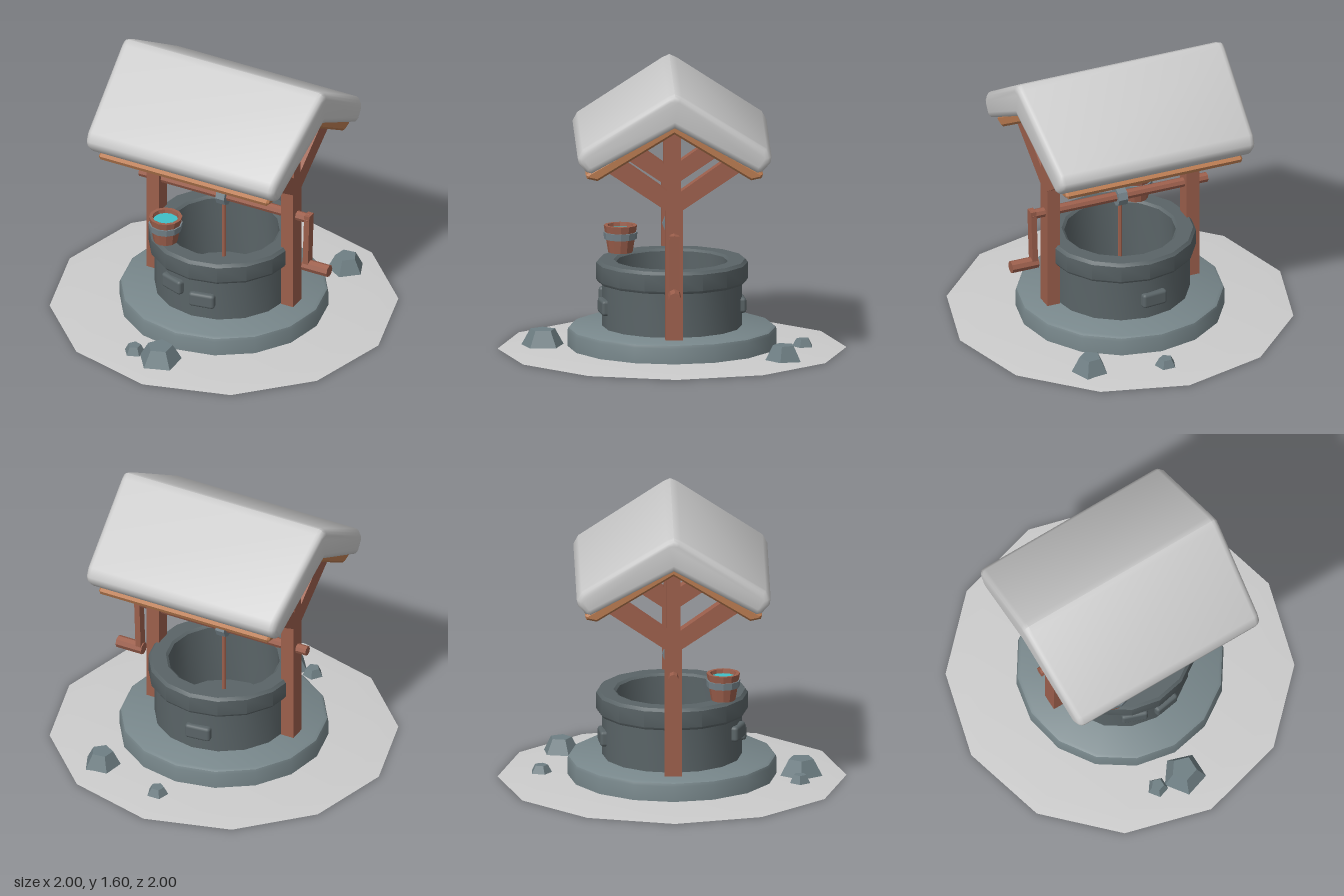
import * as THREE from 'three';
import { toCreasedNormals } from 'three/addons/utils/BufferGeometryUtils.js';
import { RoundedBoxGeometry } from 'three/addons/geometries/RoundedBoxGeometry.js';

const mat = (color, flatShading = false) => new THREE.MeshStandardMaterial({ color, flatShading });
const SNOW = mat(0xcccccc);
const WALL = mat(0x5a6467);
const STONE = mat(0x77868a);
const ROCK = mat(0x6f7f84, true);
const WOOD = mat(0x9c5f4c, true);
const ROOF = mat(0xb87a50, true);
const IRON = mat(0x75838a, true);
const WATER = mat(0x40c0c8);

export function createModel() {
  const model = new THREE.Group();

  const add = (name, geometry, material, x = 0, y = 0, z = 0, parent = model) => {
    const mesh = new THREE.Mesh(geometry, material);
    mesh.name = name;
    mesh.position.set(x, y, z);
    parent.add(mesh);
    return mesh;
  };
  const lathe = (points, sides) => toCreasedNormals(
    new THREE.LatheGeometry(points.map(([r, y]) => new THREE.Vector2(r, y)), sides), 0.6);

  // Mirrors half an outline (z >= 0, from bottom centre to top centre) into a full one
  const mirrored = (half) => new THREE.Shape([
    ...half, ...half.filter(([z]) => z > 0).reverse().map(([z, y]) => [-z, y]),
  ].map(([z, y]) => new THREE.Vector2(z, y)));

  // Extrudes a z-y outline along x, centred, with a total width
  const profile = (half, width, bevel = 0, segments = 1) => {
    const geometry = new THREE.ExtrudeGeometry(mirrored(half), {
      depth: width - 2 * bevel,
      bevelEnabled: bevel > 0,
      bevelThickness: bevel,
      bevelSize: bevel,
      bevelOffset: -bevel,
      bevelSegments: segments,
    });
    geometry.translate(0, 0, bevel - width / 2);
    return geometry.rotateY(-Math.PI / 2);
  };

  // Snowy ground and round stone footing
  add('ground', lathe([[0, 0], [1, 0], [0.87, 0.013], [0, 0.02]], 12), SNOW);
  add('footing', lathe([[0, 0.004], [0.6, 0.004], [0.6, 0.105], [0.594, 0.122], [0.578, 0.132], [0, 0.132]], 16), STONE);

  // Well wall with a thicker rim, hollow inside
  add('wellWall', lathe([
    [0.4, 0.004], [0.4, 0.39], [0.425, 0.39], [0.435, 0.405], [0.435, 0.5],
    [0.42, 0.518], [0.335, 0.518], [0.32, 0.505], [0.32, 0.14], [0, 0.14],
  ], 16), WALL);

  // Raised bricks on the wall: angle around the well, height
  [[-0.34, 0.30], [0.165, 0.255], [Math.PI + 0.1, 0.25]].forEach(([angle, y]) => {
    const brick = add('brick', new RoundedBoxGeometry(0.155, 0.09, 0.06, 2, 0.018), WALL,
      Math.sin(angle) * 0.392, y, Math.cos(angle) * 0.392);
    brick.rotation.y = angle;
  });

  // Posts with forked braces reaching up to the roof
  const postOutline = [[0.05, 0], [0.05, 0.89], [0.4, 1.125], [0.3, 1.185], [0.04, 1.0], [0.04, 1.35], [0, 1.37]];
  for (const side of [-1, 1]) {
    add(side > 0 ? 'leftPost' : 'rightPost', profile(postOutline, 0.08), WOOD, side * 0.435);
  }

  // Wooden gable roof
  add('roofBoards', profile(
    [[0, 1.345], [0.44, 1.075], [0.5, 1.088], [0.508, 1.11], [0.485, 1.125], [0, 1.405]], 1.1, 0.012), ROOF);

  // Thick snow on the roof, narrowing towards the eaves
  const snow = profile(
    [[0, 1.395], [0.475, 1.128], [0.505, 1.135], [0.55, 1.185], [0.556, 1.22], [0.528, 1.27], [0.04, 1.58], [0, 1.597]],
    1.3, 0.035, 3);
  const p = snow.attributes.position;
  for (let i = 0; i < p.count; i++) p.setX(i, p.getX(i) * (1 - 0.115 * Math.abs(p.getZ(i))));
  add('roofSnow', toCreasedNormals(snow, 0.85), SNOW);

  // Winch: axle, collar, rope and crank
  const winch = new THREE.Group();
  winch.name = 'winch';
  model.add(winch);
  const rod = (radius, length, sides = 8) =>
    new THREE.CylinderGeometry(radius, radius, length, sides).rotateZ(Math.PI / 2);
  add('axle', rod(0.029, 1.1), WOOD, 0.01, 0.728, 0, winch);
  add('collar', rod(0.056, 0.056), IRON, 0, 0.726, 0, winch);
  add('rope', new THREE.CylinderGeometry(0.012, 0.012, 0.56, 8), WOOD, 0, 0.42, 0, winch);
  const arm = add('crankArm', new THREE.BoxGeometry(0.034, 0.35, 0.055), WOOD, 0.545, 0.58, 0, winch);
  arm.rotation.z = -0.03;
  add('crankHandle', rod(0.036, 0.165), WOOD, 0.6, 0.41, 0, winch);

  // Bucket standing on the rim
  const bucket = new THREE.Group();
  bucket.name = 'bucket';
  bucket.position.set(-0.225, 0.518, 0.29);
  model.add(bucket);
  add('bucketBody', lathe([[0, 0], [0.07, 0], [0.096, 0.158], [0.076, 0.158], [0.068, 0.1], [0, 0.1]], 12),
    WOOD, 0, 0, 0, bucket);
  add('bucketBand', lathe([[0.08, 0.078], [0.094, 0.078], [0.098, 0.118], [0.084, 0.118]], 12), IRON, 0, 0, 0, bucket);
  add('bucketWater', new THREE.CircleGeometry(0.075, 12).rotateX(-Math.PI / 2), WATER, 0, 0.135, 0, bucket);

  // Five-sided rocks on the ground: x, z, radius, height, turn
  [
    [-0.025, 0.74, 0.135, 0.108, -Math.PI / 2],
    [-0.195, 0.73, 0.068, 0.06, -Math.PI / 2],
    [0.04, -0.75, 0.071, 0.058, 0],
    [0.46, -0.63, 0.115, 0.1, 0.1],
  ].forEach(([x, z, radius, height, turn]) => {
    const rock = add('rock', new THREE.CylinderGeometry(radius * 0.55, radius, height, 5), ROCK, x, height / 2, z);
    rock.rotation.y = turn;
  });

  return model;
}
